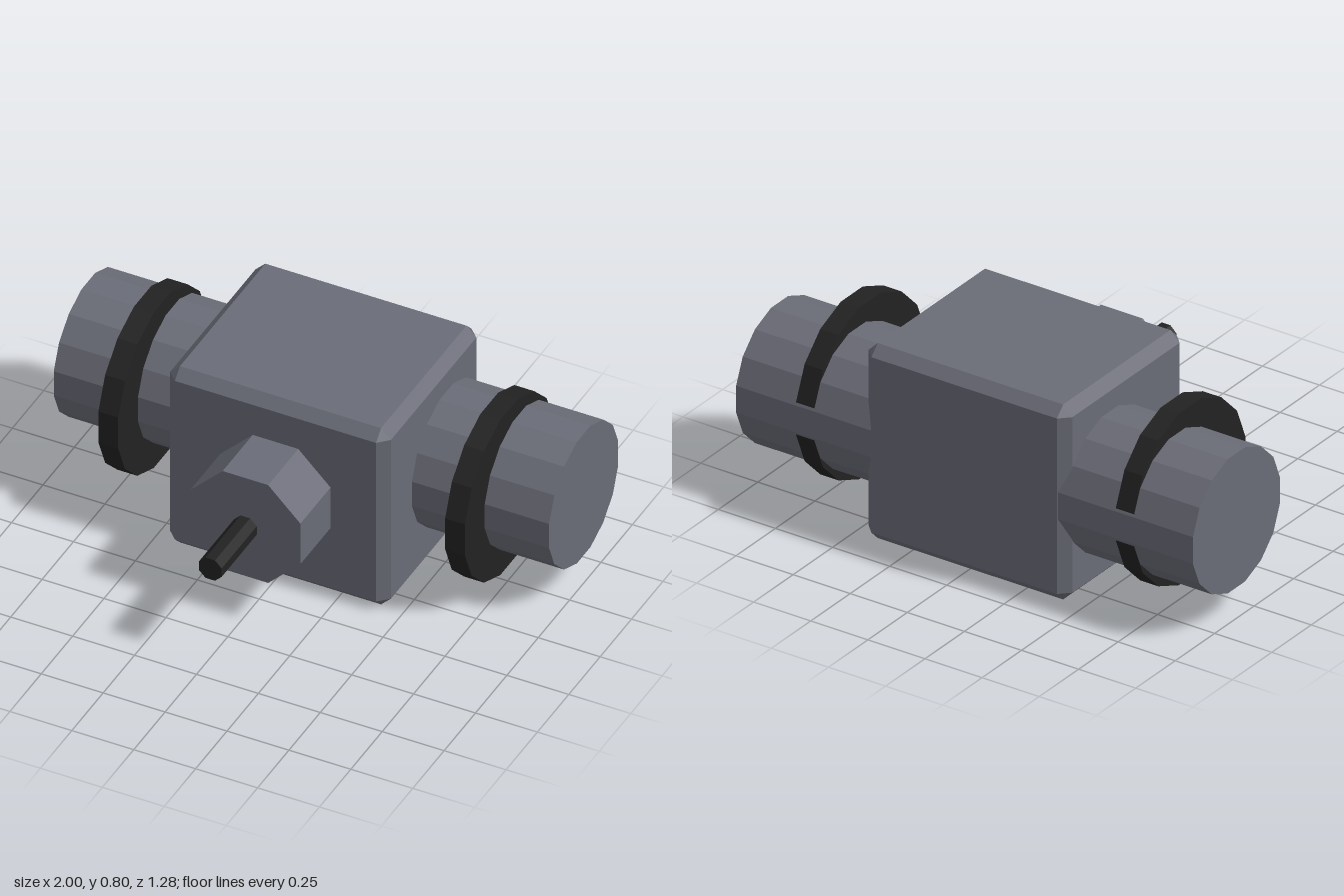
import * as THREE from 'three';
import { ConvexGeometry } from 'three/addons/geometries/ConvexGeometry.js';

const MID_Y = 0.402;

// Prism with flats facing the axes; a is the distance from centre to a flat.
function prism(a, length, sides, axis) {
  const r = a / Math.cos(Math.PI / sides);
  const g = new THREE.CylinderGeometry(r, r, length, sides);
  g.rotateY(Math.PI / sides);
  if (axis === 'x') g.rotateZ(Math.PI / 2);
  else g.rotateX(Math.PI / 2);
  return g;
}

// Box with every edge cut at 45 degrees.
function chamferedBox(w, h, d, c) {
  const points = [];
  for (const x of [-w / 2, w / 2]) for (const y of [-h / 2, h / 2]) for (const z of [-d / 2, d / 2]) {
    const sx = Math.sign(x) * c, sy = Math.sign(y) * c, sz = Math.sign(z) * c;
    points.push(
      new THREE.Vector3(x, y - sy, z - sz),
      new THREE.Vector3(x - sx, y, z - sz),
      new THREE.Vector3(x - sx, y - sy, z));
  }
  return new ConvexGeometry(points);
}

export function createModel() {
  const group = new THREE.Group();
  const steel = new THREE.MeshStandardMaterial({ name: 'steel grey', color: 0x6a6c77, flatShading: true });
  const black = new THREE.MeshStandardMaterial({ name: 'black', color: 0x222222, flatShading: true });

  function add(name, geometry, material, x, y, z) {
    const mesh = new THREE.Mesh(geometry, material);
    mesh.name = name;
    mesh.position.set(x, y, z);
    group.add(mesh);
  }

  // Central housing
  add('housing', chamferedBox(0.892, 0.8, 0.76, 0.04), steel, 0, 0.4, -0.26);

  // Side barrels, each with a slightly off-centre black collar
  for (const [side, s] of [['left', 1], ['right', -1]]) {
    add(side + 'Barrel', prism(0.2755, 0.6, 16, 'x'), steel, s * 0.7, MID_Y, -0.362);
    add(side + 'Collar', prism(0.352, 0.08, 16, 'x'), black, s * 0.7, MID_Y, -0.281);
  }

  // Front hub and its thin shaft
  add('hub', prism(0.222, 0.28, 8, 'z'), steel, 0, MID_Y, 0.22);
  add('shaft', prism(0.046, 0.32, 8, 'z'), black, 0, MID_Y, 0.48);

  return group;
}
